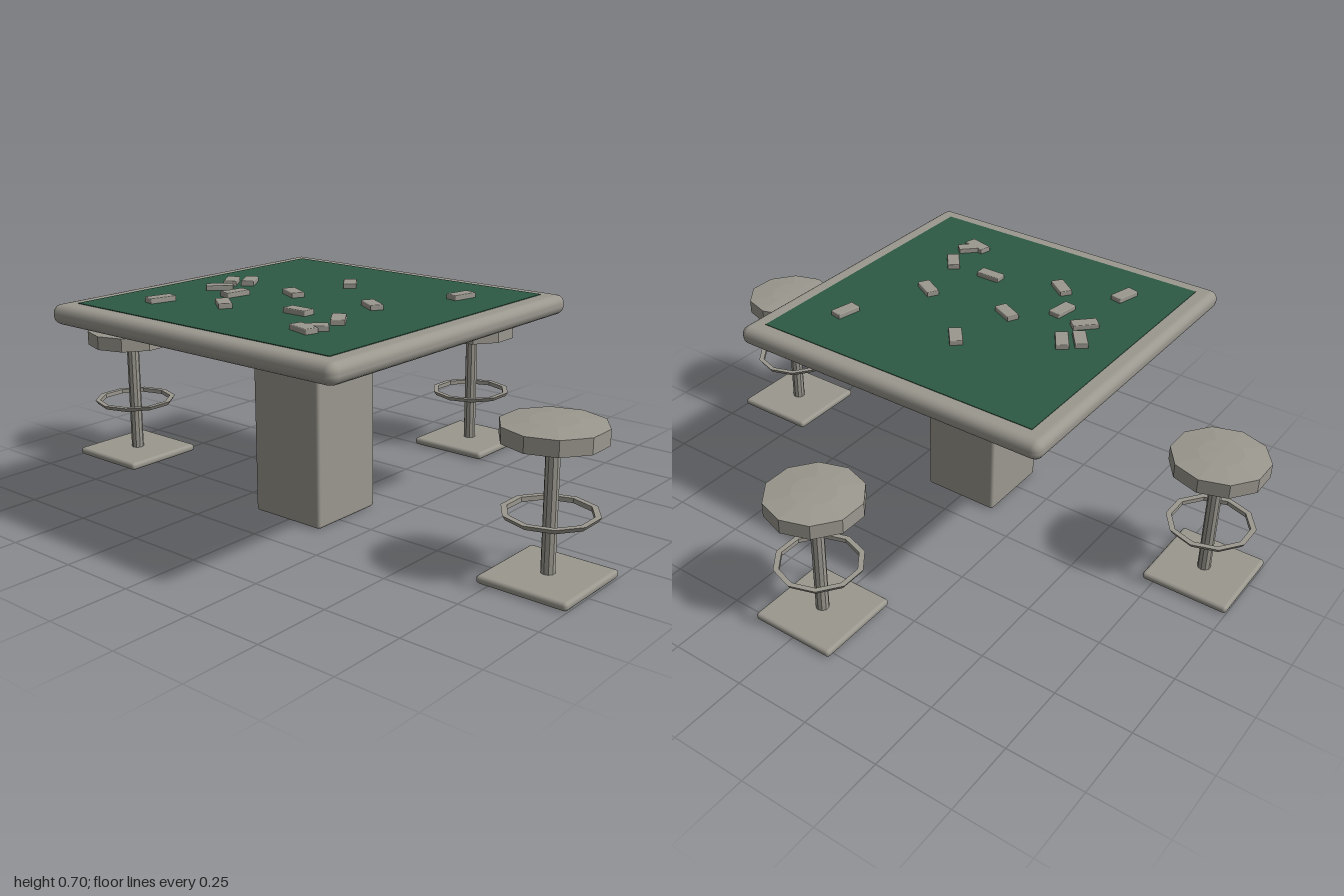
import * as THREE from 'three';
import { RoundedBoxGeometry } from 'three/addons/geometries/RoundedBoxGeometry.js';

const TABLE_Z = 0.222;

// Faceted ten-sided turning from [radius, height] points
function turned(points) {
  const lathe = new THREE.LatheGeometry(points.map(([r, y]) => new THREE.Vector2(r, y)), 10);
  const geometry = lathe.toNonIndexed();
  geometry.computeVertexNormals();
  return geometry;
}

function addMesh(parent, name, geometry, material, x = 0, y = 0, z = 0) {
  const mesh = new THREE.Mesh(geometry, material);
  mesh.name = name;
  mesh.position.set(x, y, z);
  parent.add(mesh);
  return mesh;
}

export function createModel() {
  const model = new THREE.Group();
  model.name = 'gameTableWithStools';

  const grey = new THREE.MeshStandardMaterial({ color: 0x9b988f });
  grey.name = 'warm grey';
  const green = new THREE.MeshStandardMaterial({ color: 0x2c5a43 });
  green.name = 'felt green';

  // Table: square post, rounded top and felt playing surface
  const table = new THREE.Group();
  table.name = 'table';
  table.position.z = TABLE_Z;
  model.add(table);
  addMesh(table, 'post', new RoundedBoxGeometry(0.265, 0.63, 0.265, 2, 0.01), grey, 0, 0.315, 0);
  addMesh(table, 'tableTop', new RoundedBoxGeometry(1.114, 0.062, 1.114, 2, 0.028), grey, 0, 0.647, 0);
  addMesh(table, 'felt', new THREE.BoxGeometry(0.994, 0.004, 0.994), green, 0, 0.678, 0);

  // Tiles scattered on the felt: x, z, and the direction of the long side
  const tiles = [
    [0.342, -0.069, 0.2, -0.98], [-0.037, 0.005, 0.62, 0.78], [-0.08, 0.224, 0.9, 0.45],
    [0.219, 0.208, 0.85, 0.5], [-0.358, 0.214, 0.6, 0.8], [-0.315, 0.176, 0.55, 0.83],
    [-0.32, 0.304, 0.7, -0.7], [-0.214, 0.342, 0.15, -1], [-0.133, 0.47, 0.8, 0.6],
    [0.107, 0.406, 1, 0], [0.267, 0.416, 0.6, 0.8], [-0.326, 0.545, 0.25, -0.97],
    [0.278, 0.534, 0.7, -0.7], [0.267, 0.561, 0.95, 0.25],
  ];
  const tileGeometry = new RoundedBoxGeometry(0.085, 0.018, 0.042, 1, 0.003);
  tiles.forEach(([x, z, dx, dz]) => {
    addMesh(model, 'tile', tileGeometry, grey, x, 0.687, z).rotation.y = Math.atan2(-dz, dx);
  });

  // Stools share their geometries
  const base = new RoundedBoxGeometry(0.288, 0.025, 0.288, 2, 0.011);
  const pole = turned([[0.021, 0.015], [0.021, 0.42]]);
  const footRing = turned([[0.122, 0.192], [0.131, 0.192], [0.14, 0.206], [0.122, 0.206], [0.122, 0.192]]);
  const seat = turned([[0, 0.41], [0.152, 0.41], [0.152, 0.457], [0.07, 0.466], [0, 0.468]]);
  [[-0.856, TABLE_Z], [0.856, TABLE_Z], [0, -0.633]].forEach(([x, z]) => {
    const stool = new THREE.Group();
    stool.name = 'stool';
    stool.position.set(x, 0, z);
    addMesh(stool, 'base', base, grey, 0, 0.0125, 0);
    addMesh(stool, 'pole', pole, grey);
    addMesh(stool, 'footRing', footRing, grey);
    addMesh(stool, 'seat', seat, grey);
    model.add(stool);
  });

  return model;
}
